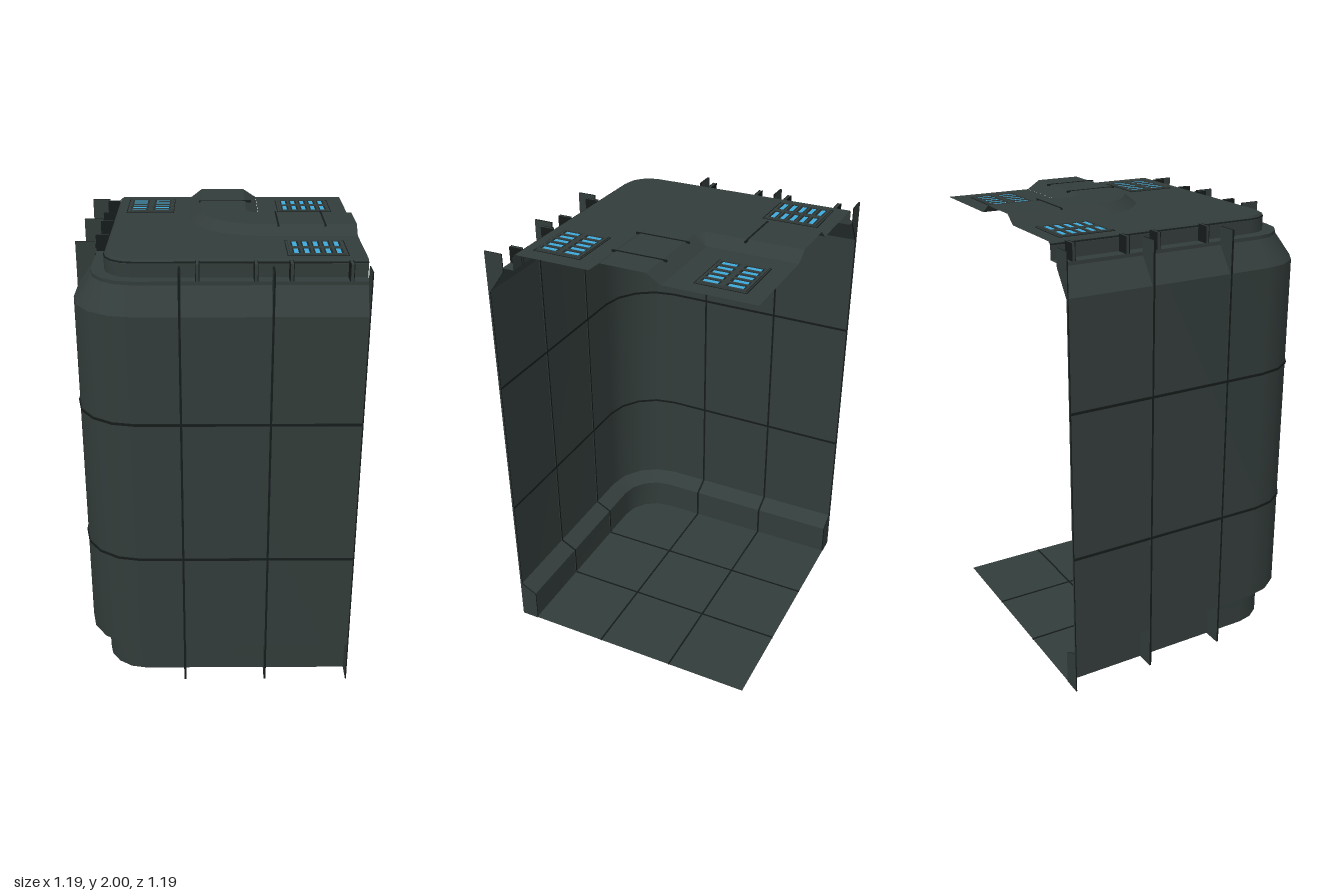
import * as THREE from 'three';
import { mergeGeometries } from 'three/addons/utils/BufferGeometryUtils.js';

const E = 0.595;                       // open edges of the corner module
const WALL = { x: -0.335, z: 0.335 };  // centre of the rounded wall corner
const DUCT = { x: 0.19, z: -0.2 };     // centre of the duct bend
const CEIL = 1.96;

function material(name, color, side = THREE.FrontSide) {
  const m = new THREE.MeshStandardMaterial({ color, side });
  m.name = name;
  return m;
}

// L-shaped line at distance r from a centre: back edge, bend, right edge
function bendLine(c, r, segs) {
  const pts = [[c.x - r, -E]];
  for (let i = 0; i <= segs; i++) {
    const a = (i / segs) * Math.PI / 2;
    pts.push([c.x - r * Math.cos(a), c.z + r * Math.sin(a)]);
  }
  pts.push([E, c.z + r]);
  return pts;
}

// Sweep a profile of [r, y] points round the bend, with sharp profile edges
function sweep(c, profile, segs) {
  const strips = [];
  for (let k = 0; k + 1 < profile.length; k++) {
    const pos = [], idx = [];
    const lines = [profile[k], profile[k + 1]].map(([r, y]) => bendLine(c, r, segs).map(([x, z]) => [x, y, z]));
    lines[0].forEach((p, i) => {
      pos.push(...p, ...lines[1][i]);
      if (i) {
        const n = 2 * i;
        idx.push(n - 2, n, n - 1, n, n + 1, n - 1);
      }
    });
    const g = new THREE.BufferGeometry();
    g.setAttribute('position', new THREE.Float32BufferAttribute(pos, 3));
    g.setIndex(idx);
    g.computeVertexNormals();
    strips.push(g);
  }
  return mergeGeometries(strips);
}

// Flat horizontal sheet from [x, z] points
function sheet(points, y) {
  const shape = new THREE.Shape(points.map(([x, z]) => new THREE.Vector2(x, -z)));
  return new THREE.ShapeGeometry(shape).rotateX(-Math.PI / 2).translate(0, y, 0);
}

export function createModel() {
  const model = new THREE.Group();
  model.name = 'roomCorner';
  const panel = material('panelGrey', 0x323c3a, THREE.DoubleSide);
  const seam = material('seamDark', 0x151b1a, THREE.DoubleSide);
  const recess = material('ventDark', 0x1f2625);
  const glow = material('lightBlue', 0x3fa9da);

  function add(name, geometry, mat, parent = model) {
    const mesh = new THREE.Mesh(geometry, mat);
    mesh.name = name;
    parent.add(mesh);
    return mesh;
  }
  function box(name, w, h, d, x, y, z, mat, parent) {
    add(name, new THREE.BoxGeometry(w, h, d), mat, parent).position.set(x, y, z);
  }

  // Walls with inset skirting, sloped cove and ceiling ledge
  const profile = [[0.18, 0.003], [0.18, 0.15], [0.255, 0.19], [0.255, 1.77], [0.18, 1.875],
    [0.18, 1.89], [0.125, 1.89], [0.125, 1.945], [0.119, 1.955], [0.115, 1.955], [0.111, CEIL]];
  add('walls', sweep(WALL, profile, 4), panel);
  add('ceilingRimLine', sweep(WALL, [[0.127, 1.947], [0.123, 1.953]], 4), seam);

  // Horizontal wall seams
  for (const y of [0.655, 1.305]) {
    const ring = [[0.252, y - 0.005], [0.26, y - 0.005], [0.26, y + 0.005], [0.252, y + 0.005], [0.252, y - 0.005]];
    add('horizontalSeam', sweep(WALL, ring, 4), seam);
  }

  // Vertical seam fins follow the wall inside and fill the box outside
  const finShape = new THREE.Shape([[0.26, 0], [0.26, 1.95], [0.177, 1.95], [0.177, 1.873], [0.252, 1.768],
    [0.252, 0.192], [0.177, 0.152], [0.177, 0]].map(([r, y]) => new THREE.Vector2(r, y)));
  const finGeometry = (w) => new THREE.ExtrudeGeometry(finShape, { depth: w, bevelEnabled: false }).translate(0, 0, -w / 2);
  const ribGeometry = new THREE.BoxGeometry(0.055, 0.068, 0.014).translate(0.1525, 1.924, 0);

  // Place a part on the left wall at z = s and mirrored on the front wall at x = -s
  function onBothWalls(name, geometry, mat, s) {
    const side = add(name, geometry, mat);
    side.rotation.y = Math.PI;
    side.position.set(WALL.x, 0, s);
    const front = add(name, geometry, mat);
    front.rotation.y = -Math.PI / 2;
    front.position.set(-s, 0, WALL.z);
  }
  for (const s of [0.15, -0.217]) onBothWalls('verticalSeamFin', finGeometry(0.009), [panel, seam], s);
  onBothWalls('endSeamFin', finGeometry(0.005), [panel, seam], -E + 0.0025);
  for (const s of [0.08, -0.15, -0.29, -0.525]) onBothWalls('ledgeRib', ribGeometry, panel, s);
  for (const s of [0.08, -0.15, -0.29, -0.525]) {
    for (const o of [-0.007, 0.007]) {
      onBothWalls('ledgeRibEdge', new THREE.BoxGeometry(0.056, 0.069, 0.003).translate(0.1525, 1.9245, 0), seam, s + o);
    }
  }

  // Floor with panel seams
  add('floor', sheet([...bendLine(WALL, 0.18, 4), [E, -E]], 0.003), panel);
  for (const s of [0.15, -0.217]) {
    box('floorSeam', 1.11, 0.006, 0.007, 0.04, 0.003, s, seam);
    box('floorSeam', 0.007, 0.006, 1.11, -s, 0.003, -0.04, seam);
  }

  // Ceiling sheets either side of the duct
  add('ceiling', sheet([...bendLine(WALL, 0.111, 4), ...bendLine(DUCT, 0.31, 8).reverse()], CEIL), panel);
  add('ceilingInnerCorner', sheet([[DUCT.x, -E], [DUCT.x, DUCT.z], [E, DUCT.z], [E, -E]], CEIL), panel);

  // Raised duct bending across the ceiling
  add('duct', sweep(DUCT, [[0.31, CEIL], [0.26, 1.998], [0.06, 1.998], [0.001, CEIL]], 8), panel);
  box('ductSeam', 0.24, 0.008, 0.007, 0.04, 1.996, -0.355, seam);
  for (const x of [0.26, 0.46]) box('ductSeam', 0.007, 0.008, 0.24, x, 1.996, -0.04, seam);

  // Lit ceiling vents: 5 by 2 cells
  function vent(x, z, turn) {
    const g = new THREE.Group();
    g.name = 'ceilingVent';
    g.position.set(x, CEIL, z);
    g.rotation.y = turn;
    model.add(g);
    box('ventBack', 0.218, 0.006, 0.198, 0, 0, 0, recess, g);
    for (const s of [-1, 1]) {
      box('ventOutline', 0.245, 0.003, 0.003, 0, 0, s * 0.107, seam, g);
      box('ventOutline', 0.003, 0.003, 0.217, s * 0.122, 0, 0, seam, g);
    }
    for (let i = 0; i <= 5; i++) box('ventDivider', 0.01, 0.014, 0.2, (i - 2.5) * 0.043, 0, 0, panel, g);
    for (const s of [-1, 0, 1]) box('ventCrossbar', 0.222, 0.012, s ? 0.01 : 0.022, 0, 0, s * 0.096, panel, g);
    for (let i = -2; i <= 2; i++) {
      for (const s of [-1, 1]) box('ventLight', 0.018, 0.009, 0.062, i * 0.043, 0, s * 0.052, glow, g);
    }
  }
  vent(0.402, -0.41, 0);
  vent(0.402, 0.297, 0);
  vent(-0.303, -0.41, Math.PI / 2);

  return model;
}
